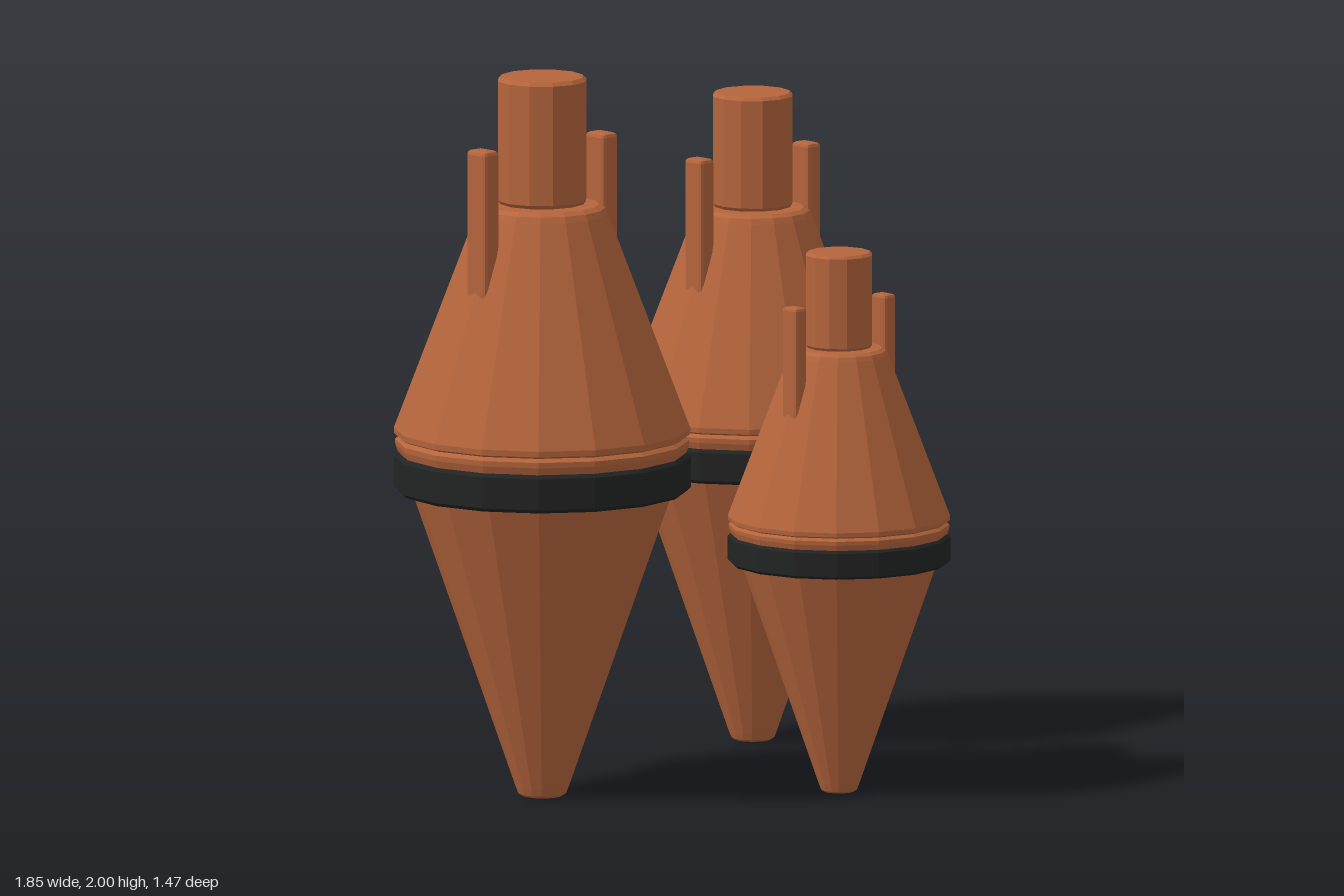
import * as THREE from 'three';
import { RoundedBoxGeometry } from 'three/addons/geometries/RoundedBoxGeometry.js';

const clay = new THREE.MeshStandardMaterial({ color: 0xb5653c, flatShading: true });
clay.name = 'clay orange';
const black = new THREE.MeshStandardMaterial({ color: 0x222323, flatShading: true });
black.name = 'band black';

// Faceted turned part from a bottom-to-top [radius, height] profile
function turned(name, profile, sides, material) {
  const points = profile.map(([r, y]) => new THREE.Vector2(r, y));
  const mesh = new THREE.Mesh(new THREE.LatheGeometry(points, sides), material);
  mesh.name = name;
  return mesh;
}

function createVessel(name) {
  const vessel = new THREE.Group();
  vessel.name = name;

  // Lower cone tapering to a small blunt foot
  vessel.add(turned('lowerCone', [
    [0, 0], [0.055, 0], [0.066, 0.007], [0.073, 0.025],
    [0.403, 0.975], [0.404, 0.99], [0.392, 1.0], [0, 1.0],
  ], 16, clay));

  // Upper cone with softened rim and shoulder
  vessel.add(turned('upperCone', [
    [0, 1.0], [0.392, 1.0], [0.406, 1.006], [0.407, 1.022],
    [0.181, 1.618], [0.173, 1.635], [0.157, 1.645], [0, 1.645],
  ], 16, clay));

  // Dark band around the widest part
  vessel.add(turned('band', [
    [0.34, 0.849], [0.398, 0.849], [0.408, 0.859],
    [0.408, 0.945], [0.398, 0.955], [0.34, 0.955], [0.34, 0.849],
  ], 16, black));

  // Neck with bevelled ends
  vessel.add(turned('neck', [
    [0, 1.64], [0.117, 1.648], [0.125, 1.658],
    [0.125, 1.99], [0.115, 2.0], [0, 2.0],
  ], 12, clay));

  // Upright lugs on both sides of the shoulder
  for (const side of [-1, 1]) {
    const lug = new THREE.Mesh(new RoundedBoxGeometry(0.058, 0.42, 0.077, 1, 0.012), clay);
    lug.name = side > 0 ? 'leftLug' : 'rightLug';
    lug.position.set(side * 0.225, 1.61, 0);
    vessel.add(lug);
  }
  return vessel;
}

export function createModel() {
  const model = new THREE.Group();
  model.name = 'vesselCluster';
  const layout = [
    ['largeVessel', 1, -0.517, -0.08],
    ['mediumVessel', 0.9, 0.557, -0.37],
    ['smallVessel', 0.75, 0.122, 0.43],
  ];
  for (const [name, scale, x, z] of layout) {
    const vessel = createVessel(name);
    vessel.scale.setScalar(scale);
    vessel.position.set(x, 0, z);
    model.add(vessel);
  }
  return model;
}
